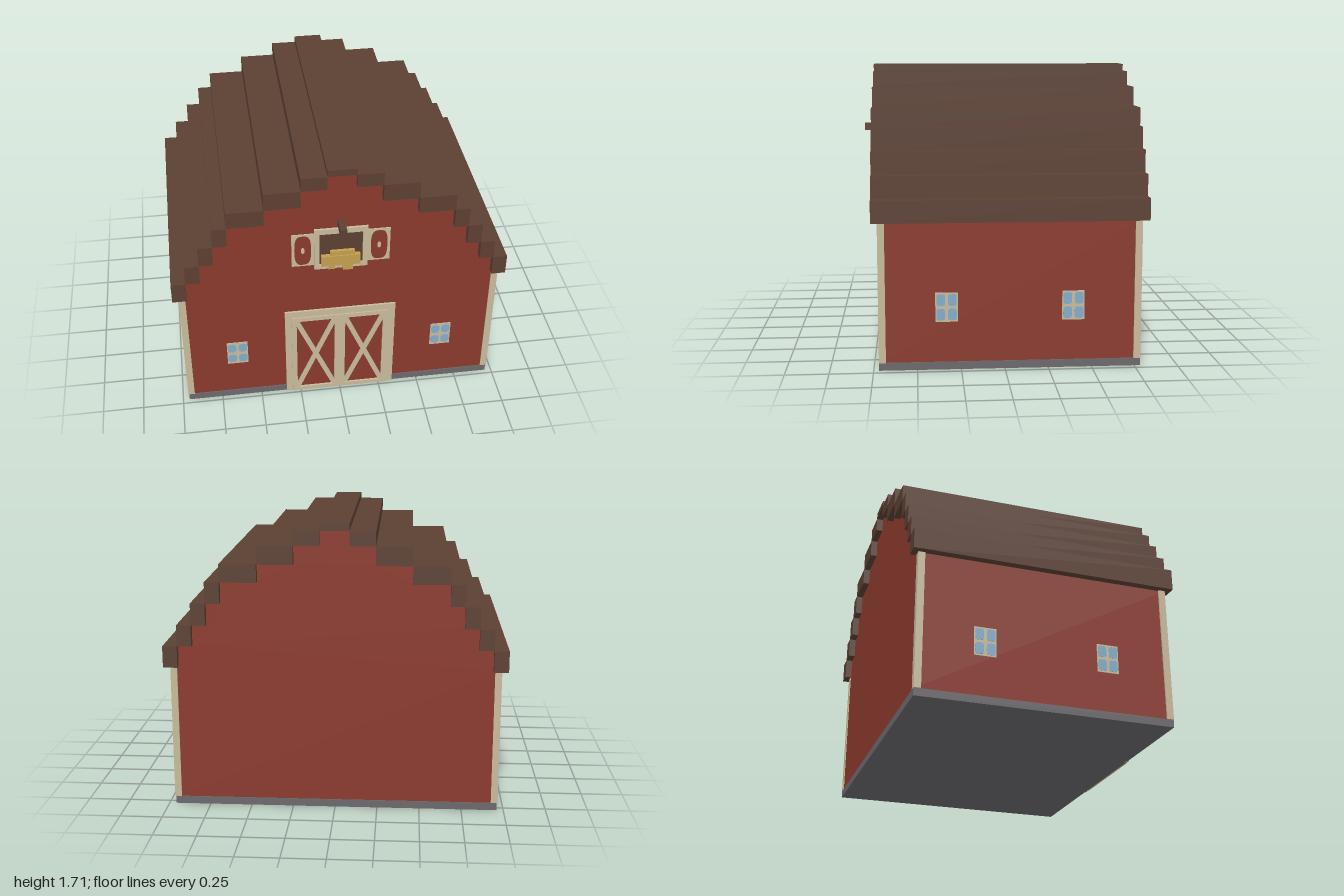
import * as THREE from 'three';

const mat = (name, color) => {
  const m = new THREE.MeshStandardMaterial({ color });
  m.name = name;
  return m;
};

export function createModel() {
  const barn = new THREE.Group();
  barn.name = 'barn';
  const red = mat('barn red', 0x8b3a2e);
  const brown = mat('roof brown', 0x5c4033);
  const cream = mat('cream trim', 0xc8ba9c);
  const grey = mat('foundation grey', 0x6b696c);
  const blue = mat('glass blue', 0x82adcb);
  const straw = mat('straw', 0xc4a04e);

  const add = (parent, name, geometry, material) => {
    const mesh = new THREE.Mesh(geometry, material);
    mesh.name = name;
    parent.add(mesh);
    return mesh;
  };
  // Box given by its minimum and maximum on each axis
  const box = (parent, name, material, x0, x1, y0, y1, z0, z1) => {
    const mesh = add(parent, name, new THREE.BoxGeometry(x1 - x0, y1 - y0, z1 - z0), material);
    mesh.position.set((x0 + x1) / 2, (y0 + y1) / 2, (z0 + z1) / 2);
    return mesh;
  };
  const rect = (T, x0, x1, y0, y1) =>
    new T([[x0, y0], [x1, y0], [x1, y1], [x0, y1]].map(p => new THREE.Vector2(...p)));
  // Rectangular plate with a rectangular opening
  const frame = (parent, name, outer, inner, z0, z1) => {
    const shape = rect(THREE.Shape, ...outer);
    shape.holes.push(rect(THREE.Path, ...inner));
    const g = new THREE.ExtrudeGeometry(shape, { depth: z1 - z0, bevelEnabled: false });
    return add(parent, name, g.translate(0, 0, z0), cream);
  };
  // Thin rounded plate; power 1 is an ellipse, smaller is squarer
  const rounded = (parent, name, material, x, y, z, rx, ry, power = 1) => {
    const pts = [];
    for (let i = 0; i < 24; i++) {
      const a = (i / 24) * Math.PI * 2, c = Math.cos(a), s = Math.sin(a);
      pts.push(new THREE.Vector2(
        rx * Math.sign(c) * Math.abs(c) ** power, ry * Math.sign(s) * Math.abs(s) ** power));
    }
    const g = new THREE.ExtrudeGeometry(new THREE.Shape(pts), { depth: 0.003, bevelEnabled: false });
    add(parent, name, g, material).position.set(x, y, z);
  };

  // Roof steps from eave to ridge: outer x, top y
  const steps = [[1, 0.985], [0.915, 1.11], [0.83, 1.24], [0.745, 1.365],
    [0.66, 1.47], [0.445, 1.58], [0.235, 1.665], [0.085, 1.705]];
  const eave = 0.857, wallX = 0.955, wallFront = 0.715, wallBack = -0.78;

  // Foundation
  box(barn, 'foundation', grey, -0.96, 0.96, 0, 0.045, -0.785, 0.72);

  // Walls with a stepped gable outline
  const half = [[wallX, 0.045], [wallX, eave]];
  let bottom = eave;
  for (let i = 1; i < steps.length; i++) {
    half.push([steps[i][0], bottom], [steps[i][0], steps[i - 1][1]]);
    bottom = steps[i - 1][1];
  }
  const outline = [...half, ...half.map(([x, y]) => [-x, y]).reverse()];
  const wallGeo = new THREE.ExtrudeGeometry(
    new THREE.Shape(outline.map(p => new THREE.Vector2(...p))),
    { depth: wallFront - wallBack, bevelEnabled: false });
  add(barn, 'walls', wallGeo.translate(0, 0, wallBack), red);

  // Stepped roof
  const roof = new THREE.Group();
  roof.name = 'roof';
  barn.add(roof);
  bottom = eave;
  steps.forEach(([x, top], i) => {
    if (i === steps.length - 1) {
      box(roof, 'ridge', brown, -x, x, bottom, top, -0.82, 0.755);
    } else {
      const inner = steps[i + 1][0];
      box(roof, 'roofStepLeft', brown, inner, x, bottom, top, -0.82, 0.755);
      box(roof, 'roofStepRight', brown, -x, -inner, bottom, top, -0.82, 0.755);
    }
    bottom = top;
  });

  // Corner posts
  for (const s of [-1, 1]) {
    for (const z of [0.7, -0.765]) {
      box(barn, 'cornerPost', cream, s * 0.945 - 0.02, s * 0.945 + 0.02, 0.045, eave, z - 0.02, z + 0.02);
    }
  }

  // Double door
  const door = new THREE.Group();
  door.name = 'barnDoor';
  barn.add(door);
  box(door, 'doorPanel', red, -0.3, 0.3, 0.005, 0.62, 0.714, 0.723);
  for (const s of [-1, 1]) {
    box(door, 'doorJamb', cream, s * 0.32 - 0.02, s * 0.32 + 0.02, 0, 0.62, 0.71, 0.728);
    const leaf = new THREE.Group();
    leaf.name = 'doorLeaf';
    leaf.position.x = s * 0.15;
    door.add(leaf);
    frame(leaf, 'leafFrame', [-0.15, 0.15, 0.003, 0.62], [-0.12, 0.115, 0.03, 0.59], 0.715, 0.735);
    for (const d of [-1, 1]) {
      const brace = add(leaf, 'crossBrace', new THREE.BoxGeometry(0.03, 0.6, 0.012), cream);
      brace.position.set(-0.002, 0.31, 0.727 + d * 0.0005);
      brace.rotation.z = d * Math.atan2(0.235, 0.56);
    }
    if (s < 0) leaf.scale.x = 1, leaf.children[0].rotation.y = 0;
  }
  box(door, 'doorLintel', cream, -0.34, 0.34, 0.62, 0.665, 0.71, 0.728);

  // Four-pane windows
  const addWindow = (x, z, turn, width, height, paneX, paneY, power) => {
    const w = new THREE.Group();
    w.name = 'window';
    w.position.set(x, 0.365, z);
    w.rotation.y = turn;
    barn.add(w);
    box(w, 'windowFrame', cream, -width / 2, width / 2, -height / 2, height / 2, -0.004, 0.004);
    for (const i of [-1, 1]) for (const j of [-1, 1]) {
      rounded(w, 'pane', blue, i * 0.033, j * 0.042, 0.003, paneX, paneY, power);
    }
  };
  for (const s of [-1, 1]) {
    addWindow(s * 0.638, wallFront, 0, 0.128, 0.172, 0.027, 0.032, 0.8);
    for (const z of [0.333, -0.392]) {
      addWindow(s * wallX, z, s * Math.PI / 2, 0.128, 0.17, 0.025, 0.034, 0.45);
    }
  }

  // Hayloft opening with shutters
  const loft = new THREE.Group();
  loft.name = 'hayloft';
  barn.add(loft);
  box(loft, 'loftOpening', brown, -0.13, 0.13, 1.02, 1.25, 0.71, 0.718);
  frame(loft, 'loftFrame', [-0.158, 0.158, 0.99, 1.28], [-0.128, 0.128, 1.02, 1.245], 0.712, 0.73);
  for (const s of [-1, 1]) {
    box(loft, 'shutter', cream, s * 0.224 - 0.066, s * 0.224 + 0.066, 1.02, 1.25, 0.713, 0.722);
    rounded(loft, 'shutterPanel', red, s * 0.225, 1.135, 0.721, 0.049, 0.104, 0.65);
    rounded(loft, 'shutterBoss', cream, s * 0.225, 1.135, 0.723, 0.011, 0.022);
  }

  // Hay spilling from the loft: x range, y range
  const hay = [[-0.118, 0.113, 1.02, 1.09], [-0.065, 0.08, 1.09, 1.12],
    [-0.075, -0.037, 0.99, 1.02], [0.01, 0.07, 0.977, 1.02]];
  hay.forEach((h, i) => box(loft, 'hay', straw, ...h, 0.712, i === 0 ? 0.745 : 0.738));

  // Hoist beam above the loft
  box(barn, 'hoistBeam', brown, -0.02, 0.02, 1.29, 1.335, 0.71, 0.82);

  return barn;
}
